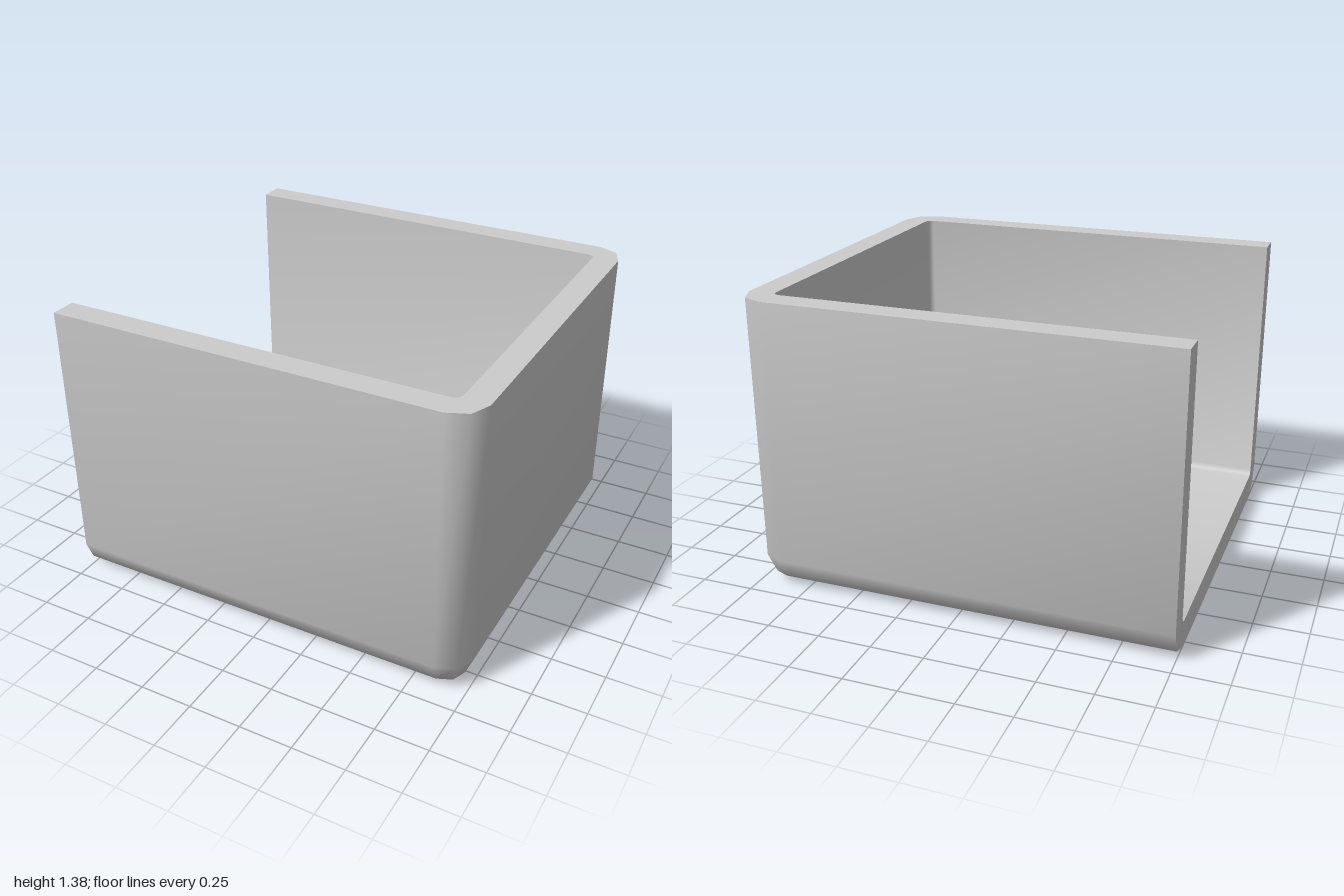
import * as THREE from 'three';
import { toCreasedNormals } from 'three/addons/utils/BufferGeometryUtils.js';

const HEIGHT = 1.38, WALL = 0.122, END_X = -1;
const OUTER = { x: 1, z: 0.935, r: 0.135, floor: 0 };
const INNER = { x: 1 - WALL, z: 0.935 - WALL, r: 0.03, floor: WALL };
const STEPS = 2; // facets per rounded edge

// U-shaped outline in plan, front wall to back wall, at one height
function ring({ x, z, r }, radius, y, depth = 1) {
  const cx = x - r, cz = z - r, half = [];
  half.push([END_X, cz + radius]);
  for (let i = 0; i <= STEPS; i++) {
    const a = (i / STEPS) * Math.PI / 2;
    half.push([cx + radius * Math.sin(a), cz + radius * Math.cos(a)]);
  }
  const all = [...half, ...half.slice().reverse().map(([px, pz]) => [px, -pz])];
  return all.map(([px, pz]) => new THREE.Vector3(px, y, pz * depth));
}

// Rings from the middle of the floor, round the bottom edge, up to the rim
function shell(box) {
  const rings = [ring(box, 0, box.floor, 0)];
  for (let i = 0; i <= STEPS; i++) {
    const a = (i / STEPS) * Math.PI / 2;
    rings.push(ring(box, box.r * Math.sin(a), box.floor + box.r * (1 - Math.cos(a))));
  }
  rings.push(ring(box, box.r, HEIGHT));
  return rings;
}

// Joins consecutive rings, skipping collapsed triangles
function skin(rings) {
  const pos = [];
  const tri = (a, b, c) => {
    if (new THREE.Triangle(a, b, c).getArea() > 1e-7) {
      for (const p of [a, b, c]) pos.push(p.x, p.y, p.z);
    }
  };
  for (let j = 0; j < rings.length - 1; j++) {
    const lo = rings[j], hi = rings[j + 1];
    for (let i = 0; i < lo.length - 1; i++) {
      tri(lo[i], lo[i + 1], hi[i + 1]);
      tri(lo[i], hi[i + 1], hi[i]);
    }
  }
  const geo = new THREE.BufferGeometry();
  geo.setAttribute('position', new THREE.Float32BufferAttribute(pos, 3));
  return toCreasedNormals(geo, THREE.MathUtils.degToRad(50));
}

export function createModel() {
  const group = new THREE.Group();
  group.name = 'openEndedTray';
  const material = new THREE.MeshStandardMaterial({ color: 0xcccccc });
  const add = (name, geo) => {
    const mesh = new THREE.Mesh(geo, material);
    mesh.name = name;
    group.add(mesh);
  };

  const outer = shell(OUTER);
  const inner = shell(INNER).reverse();
  add('outerShell', skin(outer));
  add('rim', skin([outer[outer.length - 1], inner[0]]));
  add('innerShell', skin(inner));

  // Flat cut face of the walls and floor at the open end
  const section = [...outer.slice(1), ...inner.slice(0, -1)].map((r) => r[0]);
  const right = section.slice(0, outer.length - 1).map((p) => [p.z, p.y]);
  const left = section.slice(outer.length - 1).map((p) => [p.z, p.y]);
  const mirror = (list) => list.slice().reverse().map(([z, y]) => [-z, y]);
  const outline = [...right, ...left, ...mirror(left), ...mirror(right)];
  const shape = new THREE.Shape(outline.map(([z, y]) => new THREE.Vector2(z, y)));
  const endFace = new THREE.ShapeGeometry(shape);
  endFace.rotateY(-Math.PI / 2).translate(END_X, 0, 0);
  add('openEndFace', endFace);

  return group;
}
